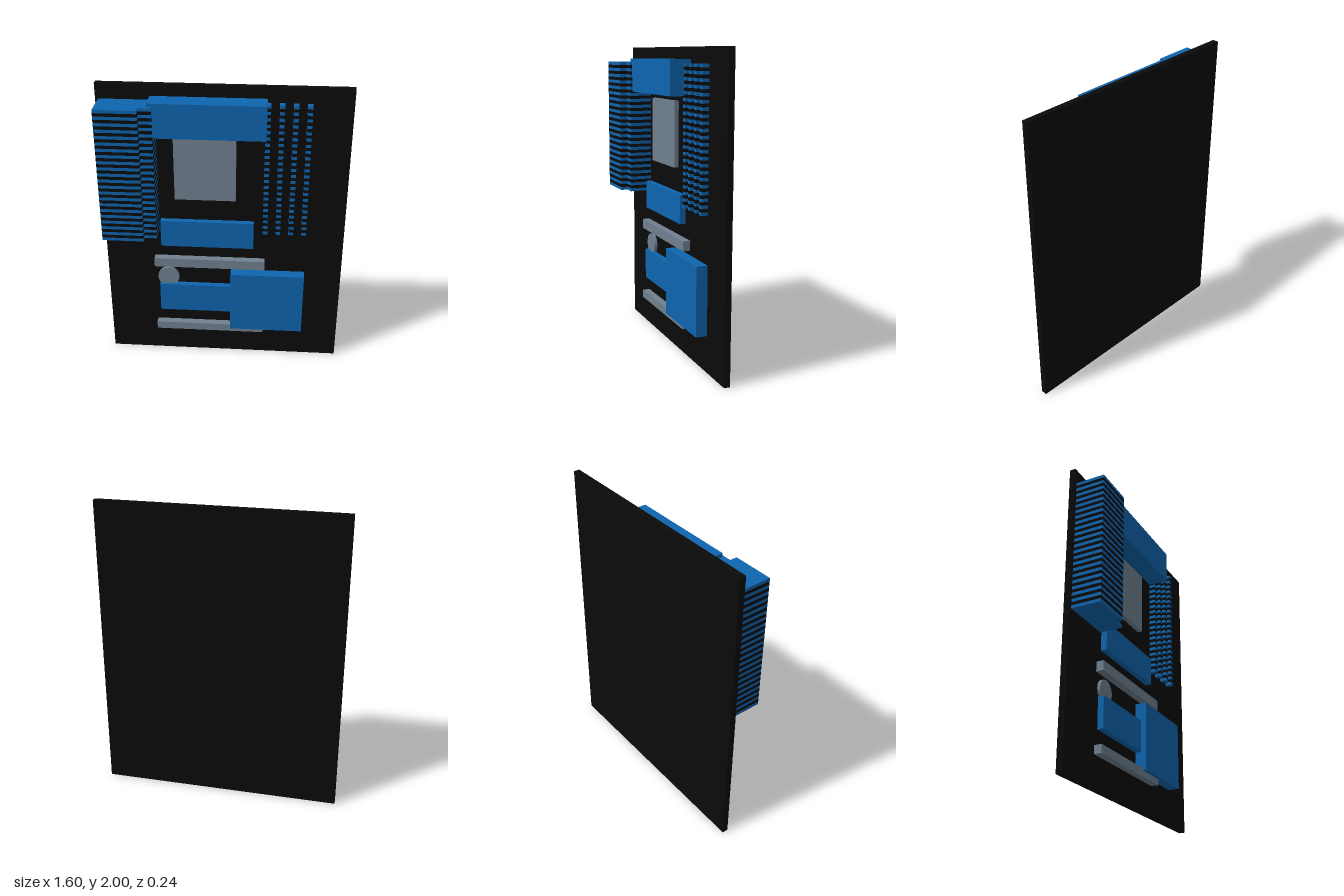
import * as THREE from 'three';

const mat = (name, color) => {
  const m = new THREE.MeshStandardMaterial({ color });
  m.name = name;
  return m;
};

export function createModel() {
  const model = new THREE.Group();
  model.name = 'circuitBoard';
  const black = mat('black', 0x0a0a0a);
  const blue = mat('blue', 0x0f65b0);
  const grey = mat('slateGrey', 0x708090);
  const face = -0.08; // front surface of the board

  // Box given by its limits on each axis
  function box(name, material, x0, x1, y0, y1, z1, z0 = face, parent = model) {
    const mesh = new THREE.Mesh(new THREE.BoxGeometry(x1 - x0, y1 - y0, z1 - z0), material);
    mesh.position.set((x0 + x1) / 2, (y0 + y1) / 2, (z0 + z1) / 2);
    mesh.name = name;
    parent.add(mesh);
  }

  // Stack of alternating blue fins and black spacers
  function striped(name, x0, x1, y0, y1, z1, fins) {
    const group = new THREE.Group();
    group.name = name;
    const step = (y1 - y0) / (2 * fins - 1);
    for (let i = 0; i < 2 * fins - 1; i++) {
      const isFin = i % 2 === 0;
      box(isFin ? 'fin' : 'spacer', isFin ? blue : black,
        x0, x1, y0 + i * step, y0 + (i + 1) * step, z1, face, group);
    }
    model.add(group);
  }

  box('board', black, -0.8, 0.8, 0, 2, face, -0.12);

  // Stepped port block on the board's edge
  striped('portBlock', -0.78, -0.51, 1.0, 1.9, 0.118, 22);
  striped('portBlockStep', -0.51, -0.43, 1.0, 1.9, 0.07, 22);

  // Memory sticks
  for (let i = 0; i < 4; i++) {
    const x = 0.26 + i * 0.085;
    striped('memoryStick', x, x + 0.032, 1.0, 1.9, -0.035, 22);
  }

  // Heat sinks and covers
  box('upperHeatSink', blue, -0.46, 0.27, 1.7, 1.925, 0.057);
  box('middleHeatSink', blue, -0.42, 0.2, 0.88, 1.07, -0.04);
  box('driveCover', blue, -0.44, 0.2, 0.36, 0.57, -0.04);
  box('chipsetCover', blue, 0.05, 0.55, 0.24, 0.69, -0.005);

  // Processor, expansion slots and round battery
  box('processor', grey, -0.32, 0.08, 1.23, 1.66, -0.05);
  box('upperSlot', grey, -0.47, 0.28, 0.72, 0.785, -0.03);
  box('lowerSlot', grey, -0.47, 0.28, 0.2, 0.255, -0.03);
  const battery = new THREE.Mesh(new THREE.CylinderGeometry(0.073, 0.073, 0.02, 32), grey);
  battery.rotation.x = Math.PI / 2;
  battery.position.set(-0.38, 0.62, face + 0.01);
  battery.name = 'battery';
  model.add(battery);

  return model;
}
